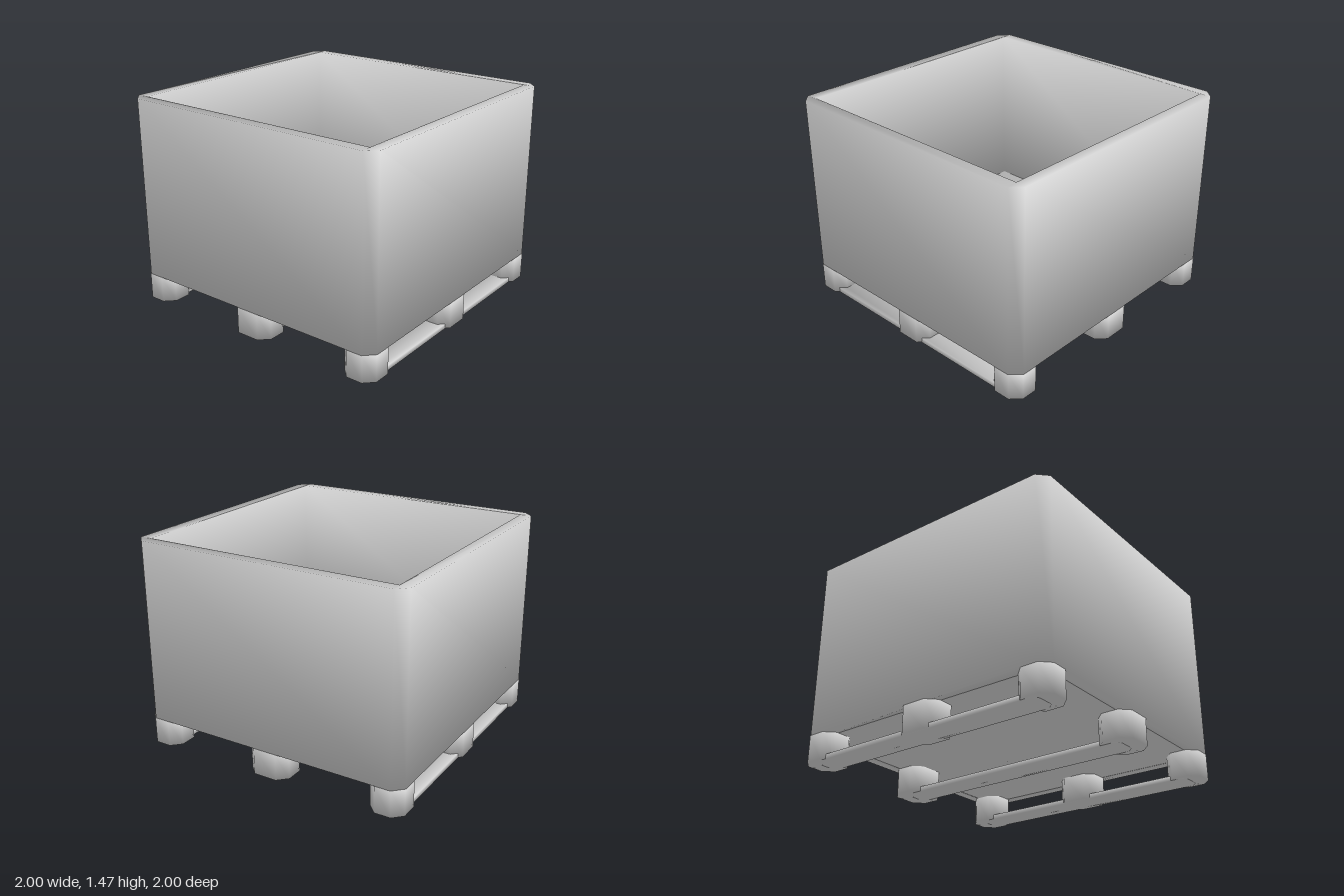
import * as THREE from 'three';
import { mergeVertices } from 'three/addons/utils/BufferGeometryUtils.js';

const material = new THREE.MeshStandardMaterial({ color: 0xcccccc, side: THREE.DoubleSide });

// Rectangle outline with cut corners
function cutRect(w, d, c) {
  const x = w / 2, z = d / 2;
  const points = [
    [x - c, -z], [x, -z + c], [x, z - c], [x - c, z],
    [-x + c, z], [-x, z - c], [-x, -z + c], [-x + c, -z],
  ];
  return new THREE.Shape(points.map(([a, b]) => new THREE.Vector2(a, b)));
}

// Weld the corners and give each an angle-weighted smooth normal
function smooth(source) {
  source.deleteAttribute('normal');
  source.deleteAttribute('uv');
  source.clearGroups();
  const geo = mergeVertices(source, 1e-4);
  const pos = geo.attributes.position, index = geo.index;
  const sums = Array.from({ length: pos.count }, () => new THREE.Vector3());
  for (let i = 0; i < index.count; i += 3) {
    const ids = [0, 1, 2].map((k) => index.getX(i + k));
    const p = ids.map((id) => new THREE.Vector3().fromBufferAttribute(pos, id));
    const normal = new THREE.Triangle(...p).getNormal(new THREE.Vector3());
    for (let k = 0; k < 3; k++) {
      const a = p[(k + 1) % 3].clone().sub(p[k]);
      const b = p[(k + 2) % 3].clone().sub(p[k]);
      sums[ids[k]].addScaledVector(normal, a.angleTo(b));
    }
  }
  const normals = sums.flatMap((n) => n.normalize().toArray());
  geo.setAttribute('normal', new THREE.Float32BufferAttribute(normals, 3));
  return geo;
}

// Upright prism from a plan outline, between two heights
function prism(name, shape, y0, y1, x = 0, z = 0) {
  const geo = new THREE.ExtrudeGeometry(shape, { depth: y1 - y0, bevelEnabled: false });
  geo.rotateX(-Math.PI / 2);
  const mesh = new THREE.Mesh(smooth(geo), material);
  mesh.name = name;
  mesh.position.set(x, y0, z);
  return mesh;
}

export function createModel() {
  const model = new THREE.Group();
  model.name = 'palletBin';
  const base = 0.19, top = 1.47, inner = 1.84;

  // Four walls as one ring, square inside and cut-cornered outside
  const ring = cutRect(2, 2, 0.07);
  const h = inner / 2;
  ring.holes.push(new THREE.Path([
    new THREE.Vector2(-h, -h), new THREE.Vector2(-h, h),
    new THREE.Vector2(h, h), new THREE.Vector2(h, -h),
  ]));
  model.add(prism('binWalls', ring, base, top));

  // Floor slab between the walls
  model.add(prism('binFloor', cutRect(inner, inner, 0.002), base, base + 0.08));

  // Feet around the edge
  for (const i of [-1, 0, 1]) {
    for (const j of [-1, 0, 1]) {
      if (i === 0 && j === 0) continue;
      const w = i === 0 ? 0.3 : 0.245;
      const d = j === 0 ? 0.3 : 0.25;
      model.add(prism('foot', cutRect(w, d, 0.065), 0.002, base, i * (1 - w / 2), j * (1 - d / 2)));
    }
  }

  // Runners joining the feet from front to back
  for (const x of [-0.88, 0, 0.88]) {
    model.add(prism('runner', cutRect(0.19, 1.8, 0.04), 0, 0.035, x));
  }
  return model;
}
